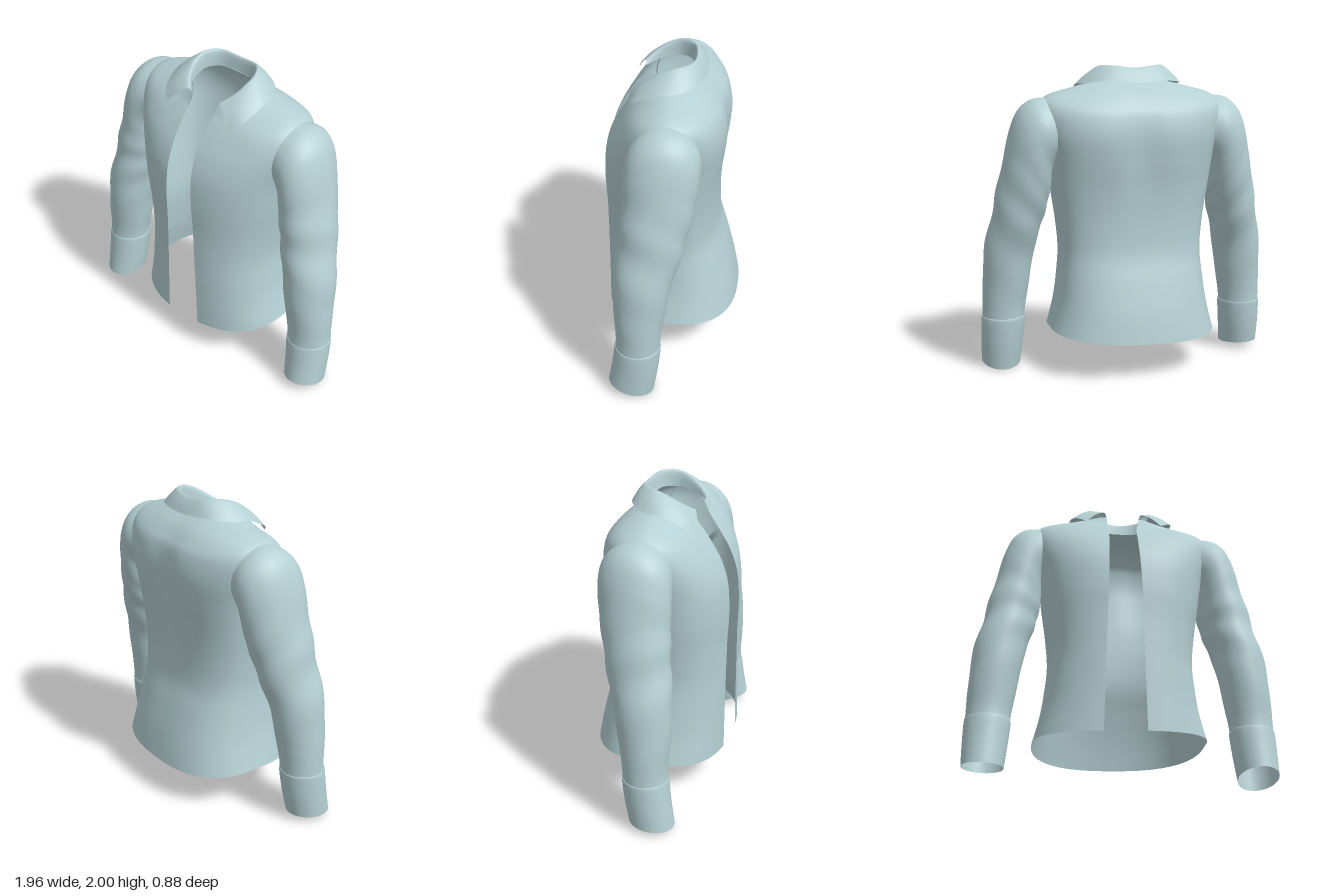
import * as THREE from 'three';

const fabric = new THREE.MeshStandardMaterial({ color: 0xb5d0d4, side: THREE.DoubleSide });
fabric.name = 'pale blue fabric';

// Smooth interpolation through rows of numbers, t from 0 to 1
function sampleRows(rows, t) {
  const f = t * (rows.length - 1);
  const i = Math.min(Math.floor(f), rows.length - 2);
  const u = f - i;
  const row = (k) => rows[Math.max(0, Math.min(rows.length - 1, k))];
  return rows[0].map((_, c) => {
    const [a, b, d, e] = [row(i - 1)[c], row(i)[c], row(i + 1)[c], row(i + 2)[c]];
    return b + 0.5 * u * (d - a + u * (2 * a - 5 * b + 4 * d - e + u * (3 * (b - d) + e - a)));
  });
}

// Grid surface from a point function of (u, v); closed welds the u seam
function surface(name, nu, nv, point, closed = false) {
  const positions = [], index = [];
  const cols = closed ? nu : nu + 1;
  for (let j = 0; j <= nv; j++)
    for (let i = 0; i < cols; i++) positions.push(...point(i / nu, j / nv));
  for (let j = 0; j < nv; j++)
    for (let i = 0; i < nu; i++) {
      const a = j * cols + i, b = j * cols + ((i + 1) % cols);
      index.push(a, b, a + cols, b, b + cols, a + cols);
    }
  const g = new THREE.BufferGeometry();
  g.setAttribute('position', new THREE.Float32BufferAttribute(positions, 3));
  g.setIndex(index);
  g.computeVertexNormals();
  const mesh = new THREE.Mesh(g, fabric);
  mesh.name = name;
  return mesh;
}

const spow = (v, p) => Math.sign(v) * Math.abs(v) ** p;

// Torso rings: half width, front z, back z, side y, front y, back y, left gap, right gap
const torsoRings = [
  [0.555, 0.44, -0.44, 0.275, 0.22, 0.245, 0.12, 0.145],
  [0.51, 0.44, -0.405, 0.45, 0.42, 0.43, 0.115, 0.14],
  [0.485, 0.44, -0.355, 0.62, 0.62, 0.62, 0.11, 0.135],
  [0.472, 0.44, -0.305, 0.8, 0.8, 0.8, 0.105, 0.13],
  [0.49, 0.44, -0.295, 1.0, 1.0, 1.0, 0.1, 0.125],
  [0.52, 0.445, -0.31, 1.2, 1.2, 1.2, 0.095, 0.12],
  [0.55, 0.43, -0.342, 1.4, 1.4, 1.4, 0.085, 0.115],
  [0.59, 0.38, -0.355, 1.57, 1.55, 1.56, 0.08, 0.11],
  [0.61, 0.315, -0.33, 1.71, 1.66, 1.69, 0.08, 0.108],
  [0.56, 0.265, -0.285, 1.805, 1.73, 1.76, 0.085, 0.106],
  [0.38, 0.225, -0.215, 1.862, 1.785, 1.83, 0.1, 0.107],
  [0.195, 0.2, -0.11, 1.905, 1.85, 1.895, 0.11, 0.11],
];
const roundness = 2.5;

function torsoPoint(u, v) {
  const [hw, zf, zb, ys, yf, yb, gl, gr] = sampleRows(torsoRings, v);
  const edge = (gap) => Math.asin((gap / hw) ** (roundness / 2));
  const a = THREE.MathUtils.lerp(edge(gl), Math.PI * 2 - edge(gr), u);
  const x = hw * spow(Math.sin(a), 2 / roundness);
  const c = spow(Math.cos(a), 2 / roundness);
  const w = Math.abs(c) ** 1.3;
  let y = THREE.MathUtils.lerp(ys, c > 0 ? yf : yb, w);
  let z = c > 0 ? zf * c : -zb * c;
  // uneven hem and the hollow between the shoulder blades
  y += 0.02 * (x / hw) * Math.max(0, 1 - v * 6);
  if (c < 0) z += 0.03 * Math.exp(-((x / 0.12) ** 2)) * Math.exp(-(((y - 1.5) / 0.3) ** 2));
  return [x, y, z];
}

// Sleeve rings: inner x, inner y, outer x, outer y, front z, back z
const sleeveRings = [
  [0.44, 1.42, 0.54, 1.8, 0.19, -0.2],
  [0.5, 1.385, 0.65, 1.785, 0.215, -0.23],
  [0.525, 1.33, 0.735, 1.715, 0.23, -0.23],
  [0.53, 1.26, 0.79, 1.585, 0.235, -0.22],
  [0.54, 1.17, 0.825, 1.42, 0.24, -0.2],
  [0.56, 1.08, 0.868, 1.24, 0.25, -0.17],
  [0.59, 0.96, 0.9, 1.06, 0.265, -0.135],
  [0.63, 0.8, 0.95, 0.84, 0.285, -0.08],
  [0.66, 0.6, 0.968, 0.6, 0.28, -0.04],
  [0.69, 0.42, 0.972, 0.42, 0.27, -0.015],
  [0.698, 0.33, 0.974, 0.33, 0.275, -0.01],
];
const cuffRings = [
  [0.698, 0.355, 0.974, 0.355, 0.272, -0.01],
  [0.692, 0.335, 0.98, 0.335, 0.28, -0.015],
  [0.705, 0.19, 0.982, 0.19, 0.298, 0.002],
  [0.722, 0.035, 0.98, 0.04, 0.322, 0.03],
];

function tubePoint(rings, side, tilt, folds) {
  return (u, v) => {
    const [xi, yi, xo, yo, zf, zb] = sampleRows(rings, v);
    const b = u * Math.PI * 2;
    // soft creases around the elbow
    const k = 1 + folds * Math.sin(v * 38 + 2 * b) * Math.exp(-(((v - 0.58) / 0.2) ** 2));
    const c = 0.5 + 0.5 * k * Math.cos(b), s = 0.5 + 0.5 * k * Math.sin(b);
    const y = yi + (yo - yi) * c + tilt * v * v * Math.sin(b);
    return [side * (xi + (xo - xi) * c), y, zb + (zf - zb) * s];
  };
}

// Collar stations from the front end to the back centre: stand foot, fold, flap edge
const collarHalf = [
  [[0.11, 1.845, 0.195], [0.13, 1.868, 0.212], [0.25, 1.757, 0.272]],
  [[0.16, 1.86, 0.14], [0.182, 1.918, 0.14], [0.318, 1.808, 0.215]],
  [[0.188, 1.88, 0.06], [0.206, 1.965, 0.06], [0.35, 1.873, 0.07]],
  [[0.188, 1.89, -0.02], [0.198, 1.995, -0.03], [0.325, 1.885, -0.06]],
  [[0.13, 1.895, -0.09], [0.13, 1.995, -0.11], [0.215, 1.9, -0.17]],
  [[0, 1.895, -0.11], [0, 1.982, -0.13], [0, 1.893, -0.207]],
];

function collarRow([foot, fold, edge]) {
  const mid = fold.map((f, i) => (f + edge[i]) / 2 + (i === 1 ? 0.016 : 0));
  return [...foot, ...fold, ...mid, ...edge];
}

function collarPoint() {
  const half = collarHalf.map(collarRow);
  const mirrored = half.slice(0, -1).reverse().map((r) => r.map((n, i) => (i % 3 ? n : -n)));
  const rows = [...half, ...mirrored];
  return (u, v) => {
    const r = sampleRows(rows, u);
    return sampleRows([0, 3, 6, 9].map((i) => r.slice(i, i + 3)), v);
  };
}

export function createModel() {
  const shirt = new THREE.Group();
  shirt.name = 'openShirt';
  shirt.add(surface('torso', 96, 66, torsoPoint));
  for (const [label, side, tilt] of [['left', 1, 0.035], ['right', -1, -0.012]]) {
    const sleeve = new THREE.Group();
    sleeve.name = label + 'Sleeve';
    sleeve.add(surface(label + 'Arm', 40, 60, tubePoint(sleeveRings, side, 0, 0.025), true));
    sleeve.add(surface(label + 'Cuff', 40, 18, tubePoint(cuffRings, side, tilt, 0), true));
    shirt.add(sleeve);
  }
  shirt.add(surface('collar', 80, 18, collarPoint()));
  return shirt;
}
